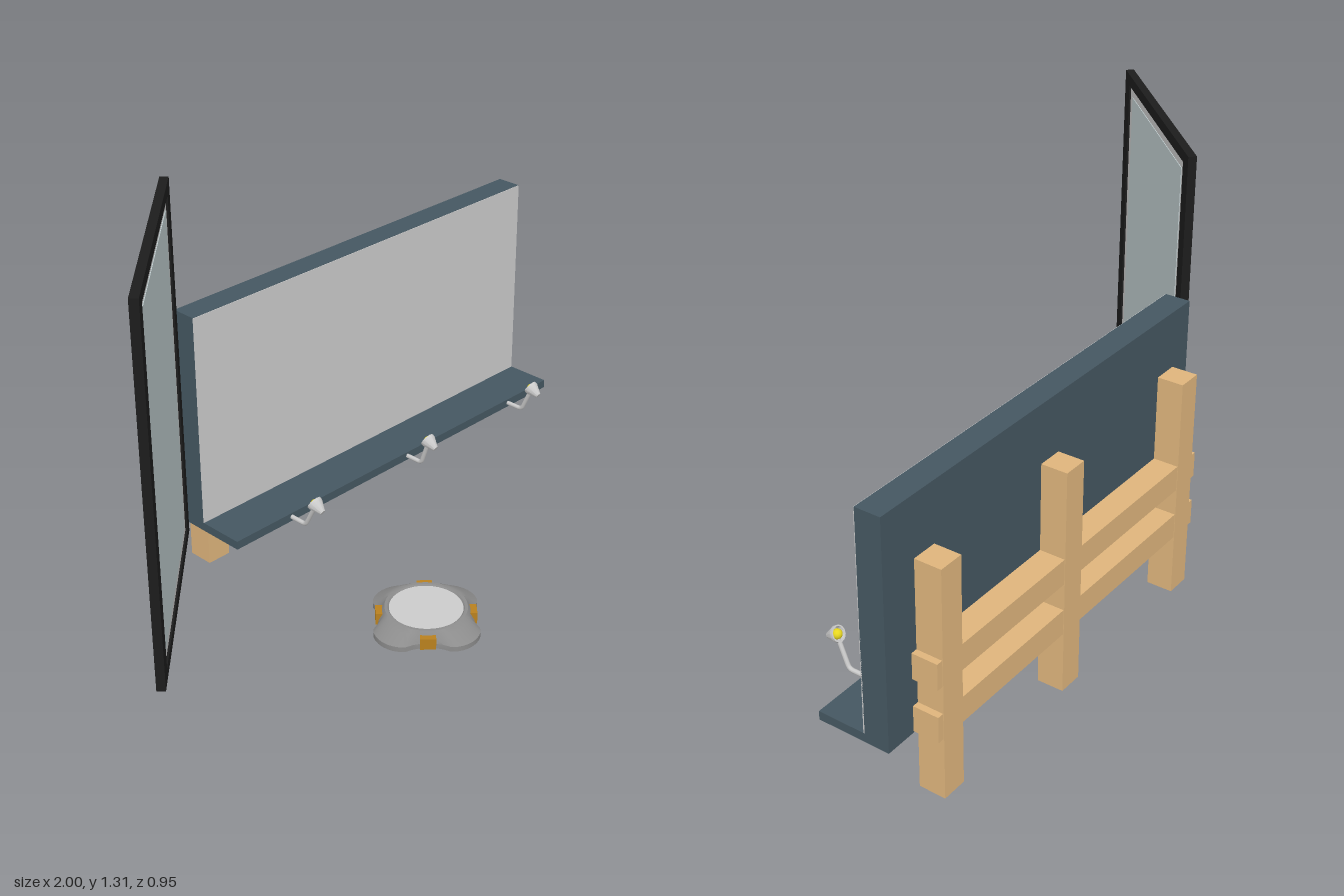
import * as THREE from 'three';
import { toCreasedNormals } from 'three/addons/utils/BufferGeometryUtils.js';

const mat = (color, extra = {}) => new THREE.MeshStandardMaterial({ color, ...extra });
const grey = mat(0xcccccc);
const greyOpen = mat(0xcccccc, { side: THREE.DoubleSide });
const wood = mat(0xdeb47c);
const slate = mat(0x455761);
const black = mat(0x1c1c1c);
const glass = mat(0xc2cfd1);
const steel = mat(0x8c8c8c, { side: THREE.DoubleSide });
const dark = mat(0x4a4a4a);
const gold = mat(0xb8801e);
const yellow = mat(0xe8d820);

function add(parent, name, geometry, material, x = 0, y = 0, z = 0) {
  const mesh = new THREE.Mesh(geometry, material);
  mesh.name = name;
  mesh.position.set(x, y, z);
  parent.add(mesh);
  return mesh;
}

// Box given by its min and max corners
function span(parent, name, material, [x0, y0, z0], [x1, y1, z1]) {
  const g = new THREE.BoxGeometry(x1 - x0, y1 - y0, z1 - z0);
  return add(parent, name, g, material, (x0 + x1) / 2, (y0 + y1) / 2, (z0 + z1) / 2);
}

// Board with front ledge
function createBoard() {
  const board = new THREE.Group();
  board.name = 'board';
  span(board, 'backPanel', slate, [-0.41, 0.19, -0.393], [1, 0.89, -0.314]);
  span(board, 'ledge', slate, [-0.41, 0.19, -0.32], [1, 0.217, -0.165]);
  span(board, 'boardFace', grey, [-0.41, 0.217, -0.316], [1, 0.889, -0.312]);
  return board;
}

// Timber posts joined by two rails
function createSupport() {
  const support = new THREE.Group();
  support.name = 'support';
  for (const x of [-0.29, 0.3, 0.84])
    span(support, 'post', wood, [x - 0.04, 0, -0.475], [x + 0.04, 0.71, -0.392]);
  for (const y of [0.195, 0.36])
    span(support, 'rail', wood, [-0.35, y, -0.473], [0.9, y + 0.08, -0.392]);
  return support;
}

// Angled side screen: frame, backing, light border and glass
function createScreen() {
  const screen = new THREE.Group();
  screen.name = 'sideScreen';
  const w = 0.77, h = 1.12, t = 0.025, bx = 0.052, by = 0.034;
  for (const s of [-1, 1]) {
    add(screen, 'frameSide', new THREE.BoxGeometry(bx, h, t), black, s * (w - bx) / 2);
    add(screen, 'frameEnd', new THREE.BoxGeometry(w - 2 * bx, by, t), black, 0, s * (h - by) / 2);
  }
  const iw = w - 2 * bx, ih = h - 2 * by;
  add(screen, 'backing', new THREE.BoxGeometry(iw, ih, 0.016), black, 0, 0, -0.0045);
  add(screen, 'border', new THREE.BoxGeometry(iw, ih, 0.003), grey, 0, 0, 0.005);
  add(screen, 'glass', new THREE.BoxGeometry(iw - 0.06, ih - 0.06, 0.003), glass, 0, 0, 0.007);
  screen.position.set(-0.72, 0.75, -0.083);
  screen.rotation.y = Math.PI / 4;
  return screen;
}

// Small lamp on a bent arm, shining back up at the board
function createLamp(x, lean, dz) {
  const lamp = new THREE.Group();
  lamp.name = 'lamp';
  const path = new THREE.CurvePath();
  const p = [[0, 0.204, -0.19], [0, 0.204, -0.105], [lean, 0.288, -0.058 + dz]]
    .map((c) => new THREE.Vector3(...c));
  const bendIn = p[1].clone().lerp(p[0], 0.15), bendOut = p[1].clone().lerp(p[2], 0.15);
  path.add(new THREE.LineCurve3(p[0], bendIn));
  path.add(new THREE.QuadraticBezierCurve3(bendIn, p[1], bendOut));
  path.add(new THREE.LineCurve3(bendOut, p[2]));
  add(lamp, 'arm', new THREE.TubeGeometry(path, 24, 0.007, 8), grey);

  const head = new THREE.Group();
  head.name = 'lampHead';
  const profile = [[0, 0], [0.009, 0.002], [0.024, 0.036], [0.024, 0.044], [0.02, 0.044], [0.017, 0.032], [0, 0.026]]
    .map((c) => new THREE.Vector2(...c));
  add(head, 'shade', toCreasedNormals(new THREE.LatheGeometry(profile, 12), 0.6), greyOpen);
  add(head, 'bulb', new THREE.SphereGeometry(0.015, 12, 8), yellow, 0, 0.037, 0);
  head.position.set(lean, 0.28, -0.024 + dz);
  head.rotation.x = -1.05;
  lamp.add(head);
  lamp.position.x = x;
  return lamp;
}

// Floor disc with four lobes and gold blocks between them
function createFloorDisc() {
  const disc = new THREE.Group();
  disc.name = 'floorDisc';
  const profile = [[0.115, 0.004], [0.155, 0], [0.183, 0], [0.183, 0.016], [0.166, 0.026], [0.14, 0.042], [0.122, 0.05], [0.113, 0.05], [0.108, 0.045]]
    .map((c) => new THREE.Vector2(...c));
  const g = new THREE.LatheGeometry(profile, 64);
  const pos = g.attributes.position;
  for (let i = 0; i < pos.count; i++) {
    const x = pos.getX(i), z = pos.getZ(i), r = Math.hypot(x, z);
    const a = Math.abs(Math.atan2(z, x)) % (Math.PI / 2);
    const off = Math.min(a, Math.PI / 2 - a);
    // pull the outer rings in between the lobes
    const pull = THREE.MathUtils.smoothstep(off, 0.33, 0.58);
    const lobe = 0.183 - 0.012 * Math.min(1, off / 0.36) ** 2;
    const limit = THREE.MathUtils.lerp(lobe, 0.142, pull);
    const out = r > 0.122 ? 0.122 + (r - 0.122) * (limit - 0.122) / 0.061 : r;
    pos.setX(i, x * out / r);
    pos.setZ(i, z * out / r);
  }
  add(disc, 'lobedRim', toCreasedNormals(g, 0.5), steel);
  add(disc, 'topPlate', new THREE.CylinderGeometry(0.11, 0.11, 0.02, 48), grey, 0, 0.036, 0);
  add(disc, 'underside', new THREE.CylinderGeometry(0.118, 0.118, 0.02, 48), dark, 0, 0.014, 0);
  for (let k = 0; k < 4; k++) {
    const a = Math.PI / 4 + k * Math.PI / 2;
    const block = add(disc, 'goldBlock', new THREE.BoxGeometry(0.025, 0.036, 0.046), gold,
      Math.cos(a) * 0.136, 0.021, Math.sin(a) * 0.136);
    block.rotation.y = -a;
  }
  disc.position.set(-0.087, 0, 0.289);
  return disc;
}

export function createModel() {
  const model = new THREE.Group();
  model.name = 'displayStand';
  model.add(createBoard(), createSupport(), createScreen(), createFloorDisc());
  for (const [x, lean, dz] of [[-0.19, -0.006, 0], [0.316, -0.006, -0.015], [0.808, -0.004, -0.008]])
    model.add(createLamp(x, lean, dz));
  return model;
}
